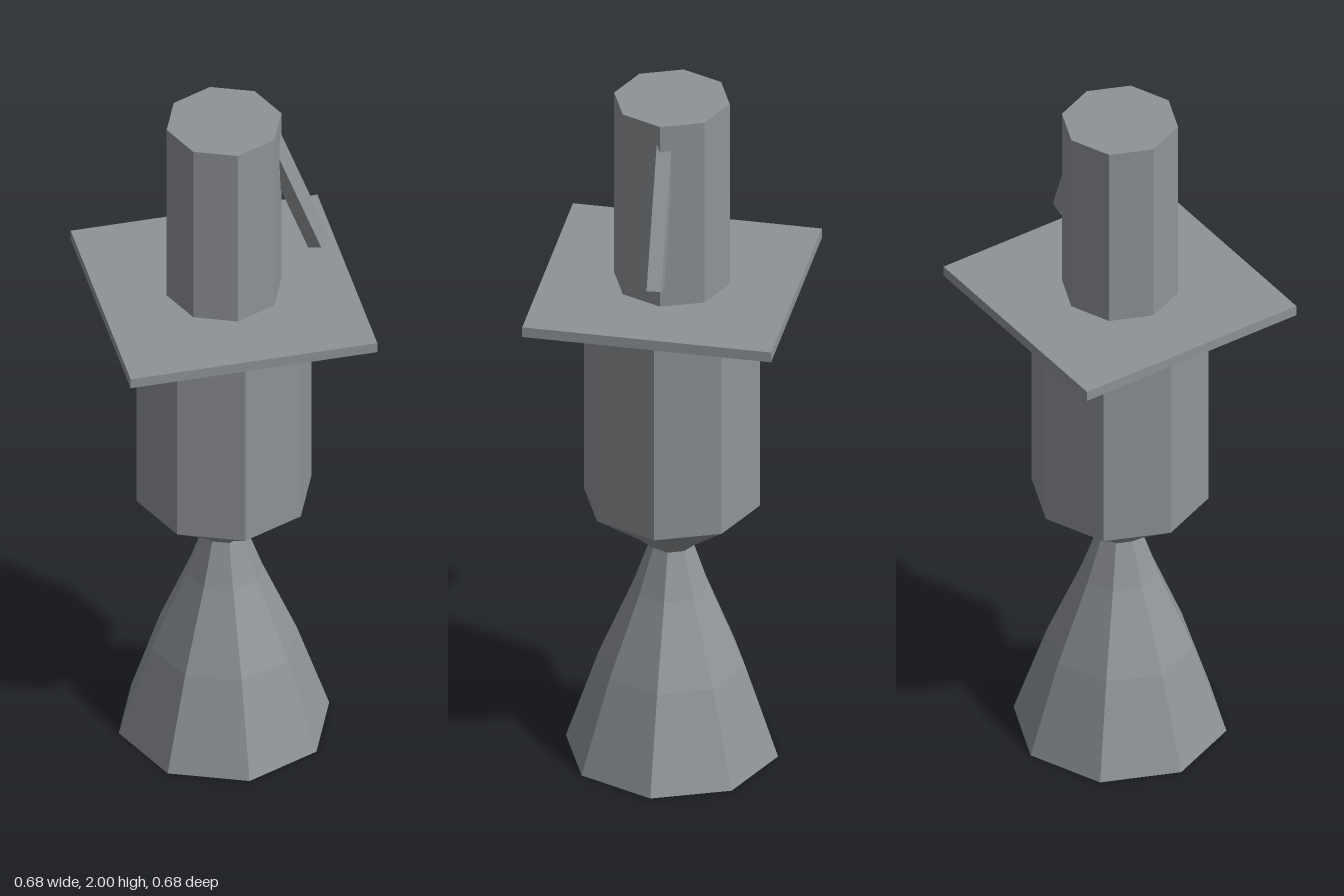
import * as THREE from 'three';

export function createModel() {
  const model = new THREE.Group();
  model.name = 'rocketEngine';

  const metal = new THREE.MeshStandardMaterial({ color: 0x8f9398, flatShading: true, side: THREE.DoubleSide });
  metal.name = 'grey metal';

  const add = (name, geometry, x = 0, y = 0, z = 0) => {
    const mesh = new THREE.Mesh(geometry, metal);
    mesh.name = name;
    mesh.position.set(x, y, z);
    model.add(mesh);
    return mesh;
  };

  // Eight-sided turned part from [radius, height] pairs, bottom to top
  const turned = (profile) =>
    new THREE.LatheGeometry(profile.map(([r, y]) => new THREE.Vector2(r, y)), 8);

  // Open, hollow nozzle
  add('nozzleBell', turned([[0.29, 0], [0.2, 0.27], [0.105, 0.5], [0.06, 0.63]]));

  // Combustion chamber narrowing to the throat
  add('combustionChamber', turned([[0.06, 0.63], [0.108, 0.672], [0.241, 0.77], [0.241, 1.415]]));

  // Square mounting plate
  add('mountingPlate', new THREE.BoxGeometry(0.68, 0.03, 0.68), 0, 1.43, 0);

  // Upper pump housing
  add('pumpHousing', new THREE.CylinderGeometry(0.158, 0.158, 0.555, 8), 0, 1.7225, 0);

  // Five-sided exhaust pipe leaning out from the housing on the left
  const length = 0.44, tilt = THREE.MathUtils.degToRad(20);
  const pipe = add('exhaustPipe', new THREE.CylinderGeometry(0.034, 0.034, length, 5),
    0.26 - Math.sin(tilt) * length / 2, 1.555 + Math.cos(tilt) * length / 2, 0);
  pipe.rotation.z = tilt;

  return model;
}
